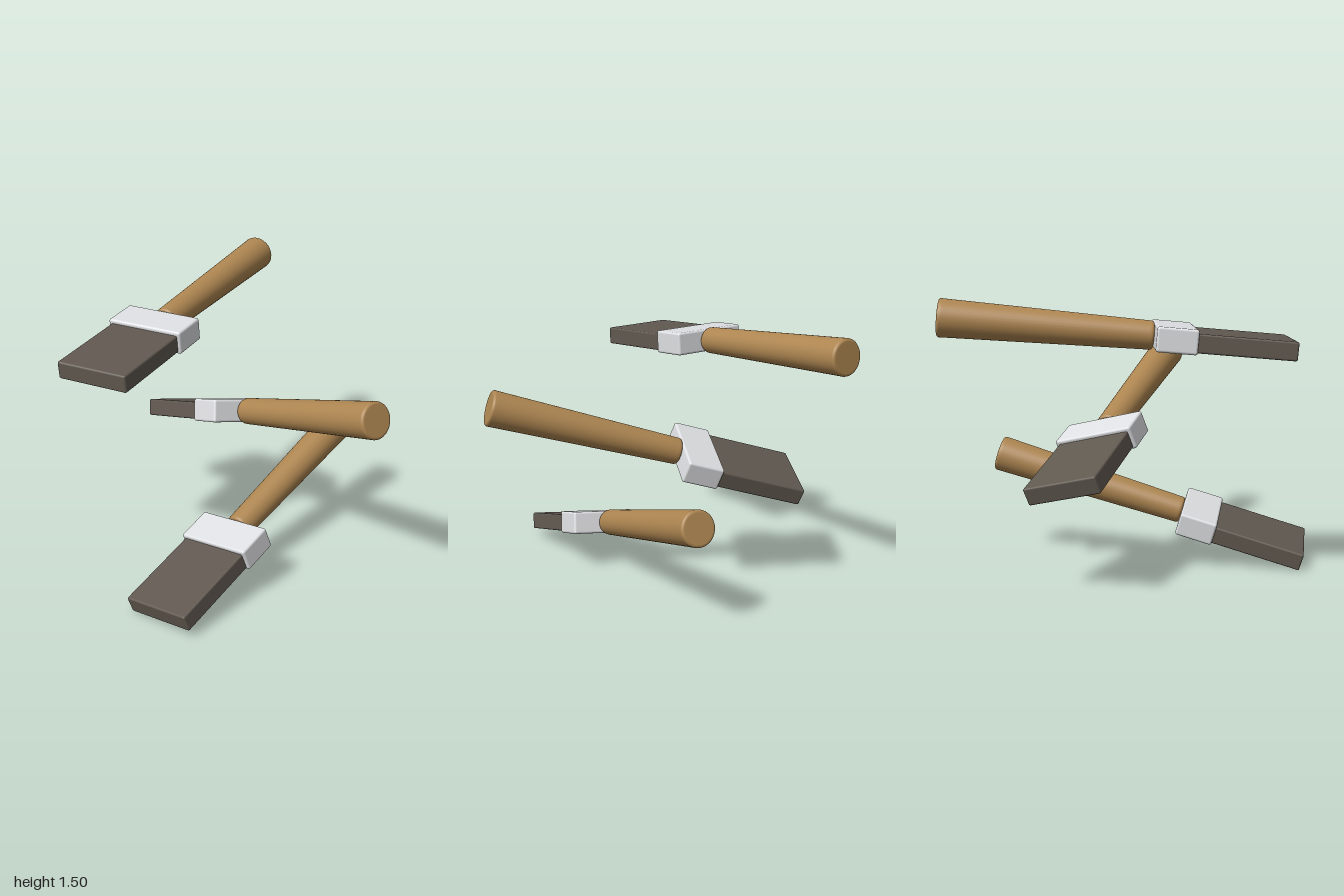
import * as THREE from 'three';
import { RoundedBoxGeometry } from 'three/addons/geometries/RoundedBoxGeometry.js';

const wood = new THREE.MeshStandardMaterial({ name: 'handleWood', color: 0xae8651 });
const metal = new THREE.MeshStandardMaterial({ name: 'ferruleMetal', color: 0xdfe0e3 });
const hair = new THREE.MeshStandardMaterial({ name: 'bristleHair', color: 0x615950 });

// Brush measurements, tip at +z and handle end at -z
const LENGTH = 1.783, BRISTLE = 0.497, FERRULE = 0.207;
const HANDLE = LENGTH - BRISTLE - FERRULE;

// Tapered round handle with softly rounded rims; runs along -z from its origin
function handleGeometry() {
  const r0 = 0.073, r1 = 0.0975, b = 0.014;
  const pts = [[0, 0], [r0 - b - 0.002, 0]];
  for (let i = 0; i <= 4; i++) {
    const a = (i / 4) * Math.PI / 2;
    pts.push([r0 - b + b * Math.sin(a), b - b * Math.cos(a)]);
  }
  pts.push([r0 + 0.0005, b + 0.01], [r1 - 0.0005, HANDLE - b - 0.01]);
  for (let i = 0; i <= 4; i++) {
    const a = (i / 4) * Math.PI / 2;
    pts.push([r1 - b + b * Math.cos(a), HANDLE - b + b * Math.sin(a)]);
  }
  pts.push([r1 - b - 0.002, HANDLE], [0, HANDLE]);
  return new THREE.LatheGeometry(pts.map(([x, y]) => new THREE.Vector2(x, y)), 40).rotateX(-Math.PI / 2);
}

function part(name, geometry, material, y, z) {
  const mesh = new THREE.Mesh(geometry, material);
  mesh.name = name;
  mesh.position.set(0, y, z);
  return mesh;
}

// mid: middle of the brush, dir: towards the bristle tip, width: across the flat bristles
function brush(name, mid, dir, width) {
  const g = new THREE.Group();
  g.name = name;
  const half = LENGTH / 2, inset = 0.03;
  g.add(
    part('bristles', new RoundedBoxGeometry(0.412, 0.096, BRISTLE + inset, 2, 0.01), hair,
      -0.005, half - (BRISTLE + inset) / 2),
    part('ferrule', new RoundedBoxGeometry(0.446, 0.126, FERRULE, 3, 0.013), metal,
      0.001, half - BRISTLE - FERRULE / 2),
    part('handle', handleGeometry(), wood, 0, half - BRISTLE - FERRULE)
  );
  const z = new THREE.Vector3(...dir).normalize();
  const y = new THREE.Vector3().crossVectors(z, new THREE.Vector3(...width)).normalize();
  const x = new THREE.Vector3().crossVectors(y, z);
  g.quaternion.setFromRotationMatrix(new THREE.Matrix4().makeBasis(x, y, z));
  g.position.set(...mid);
  return g;
}

export function createModel() {
  const model = new THREE.Group();
  model.name = 'paintBrushes';
  model.add(
    brush('topBrush', [-0.532, 1.325, -0.102], [0, -0.156, 1.777], [1, 0, 0]),
    brush('middleBrush', [0.025, 0.826, -0.059], [-1.55, -0.514, -0.648], [-0.45, 0.24, 0.86]),
    brush('bottomBrush', [0.058, 0.323, 0.112], [-0.277, -0.504, 1.673], [0.972, 0.123, 0.197])
  );
  return model;
}
